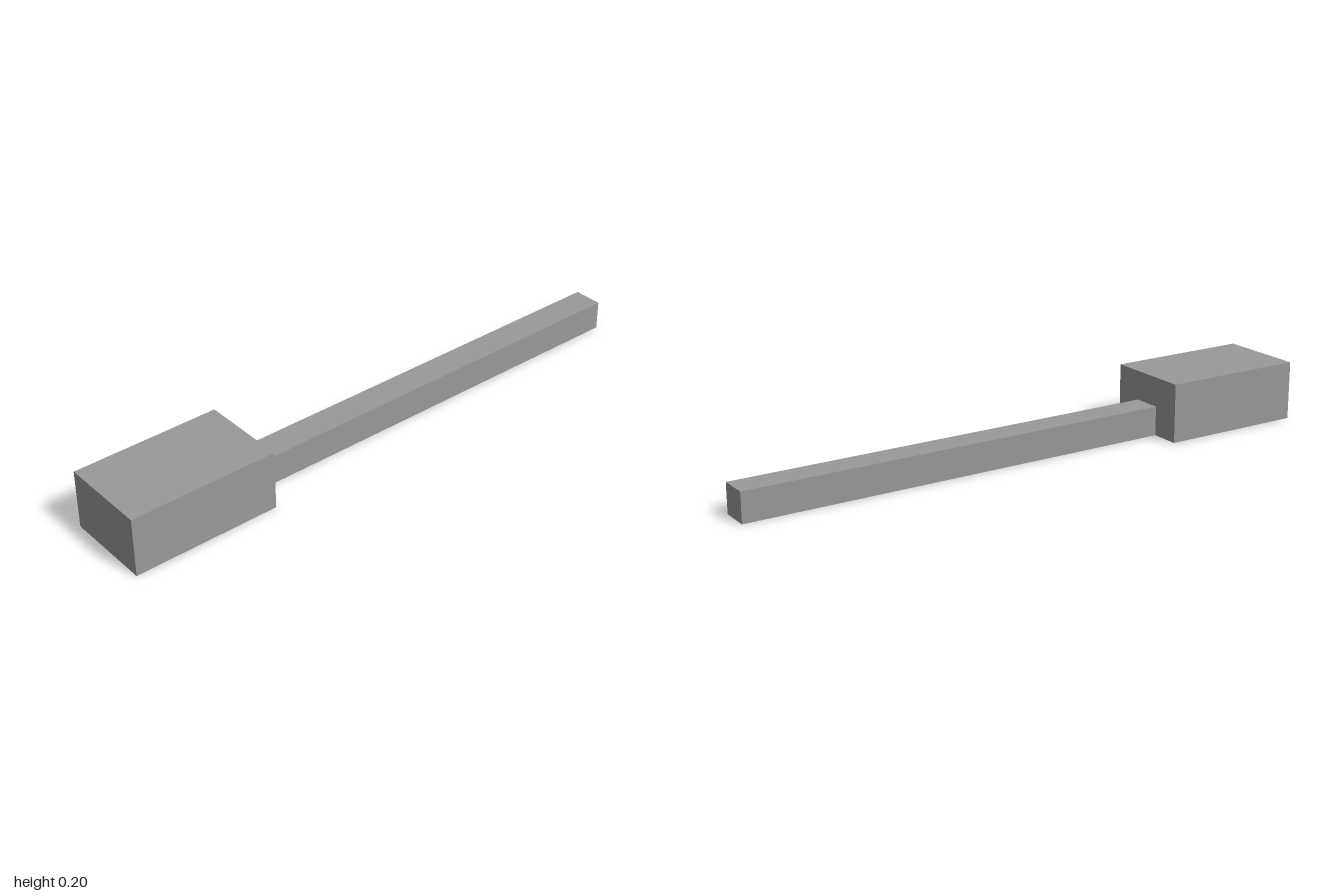
import * as THREE from 'three';

export function createModel() {
  const group = new THREE.Group();
  const grey = new THREE.MeshStandardMaterial({ color: 0x999999 });
  grey.name = 'grey';

  // Box spanning x0..x1, resting on the ground and centred on z
  const addBar = (name, x0, x1, height, depth) => {
    const mesh = new THREE.Mesh(new THREE.BoxGeometry(x1 - x0, height, depth), grey);
    mesh.name = name;
    mesh.position.set((x0 + x1) / 2, height / 2, 0);
    group.add(mesh);
  };

  addBar('head', -1, -0.5, 0.2, 0.3);
  addBar('handle', -0.5, 1, 0.1, 0.1);

  return group;
}
